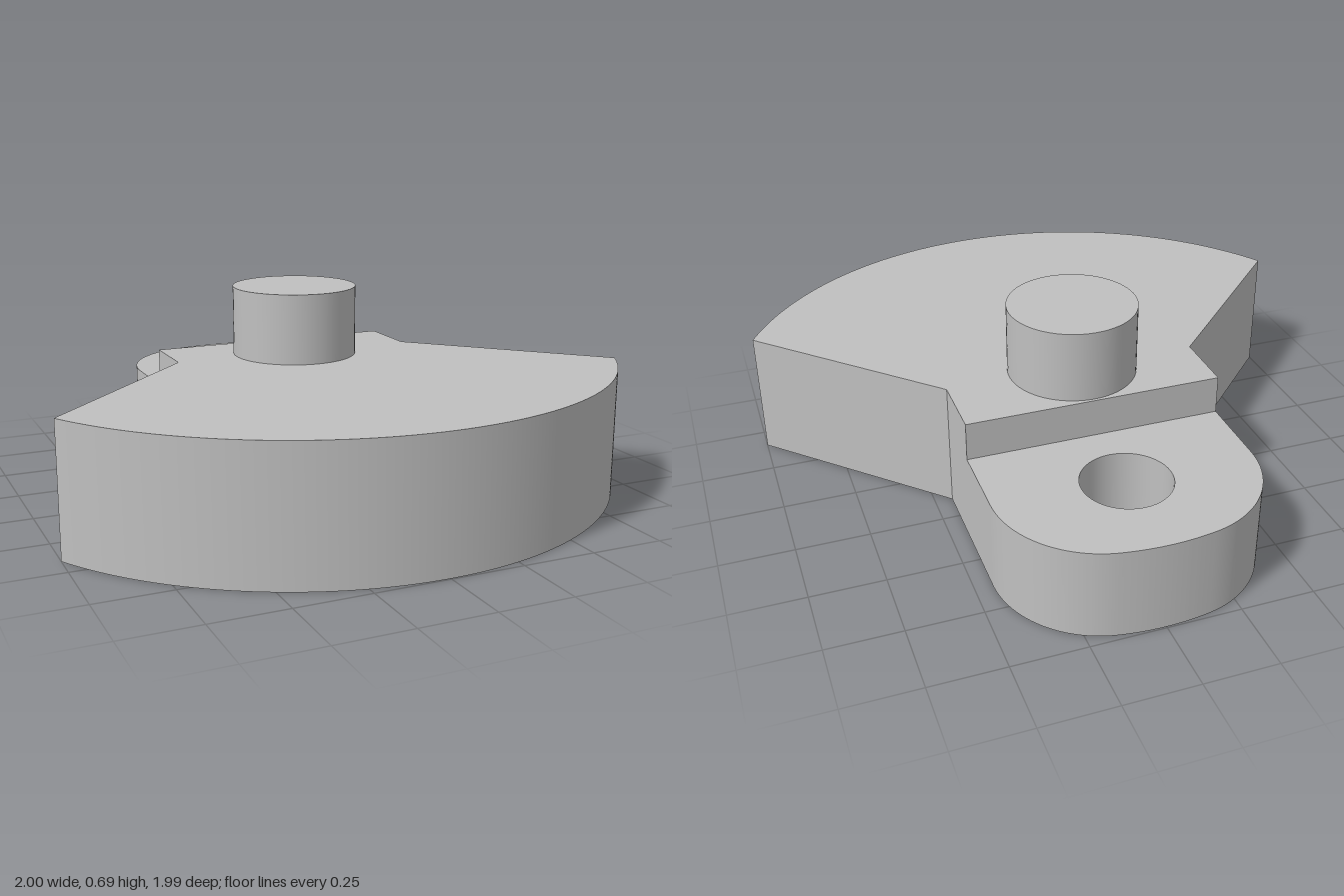
import * as THREE from 'three';
import { toCreasedNormals } from 'three/addons/utils/BufferGeometryUtils.js';

const HALF_WIDTH = 0.44; // half width of the neck and lug
const STEP = 0.378;      // distance of the step behind the centre
const PIN = 0.148;       // distance of the pin axis behind the centre

// Plan shapes use (x, -z); extrusion then runs upward from y = 0.
function plate(name, shape, height, material, curveSegments) {
  const geometry = new THREE.ExtrudeGeometry(shape, { depth: height, bevelEnabled: false, curveSegments });
  geometry.rotateX(-Math.PI / 2);
  const mesh = new THREE.Mesh(toCreasedNormals(geometry, 0.5), material);
  mesh.name = name;
  return mesh;
}

export function createModel() {
  const group = new THREE.Group();
  group.name = 'crankWeb';
  const grey = new THREE.MeshStandardMaterial({ color: 0xc0c0c0 });
  grey.name = 'plain grey';

  // Fan-shaped counterweight, its rim concentric with the pin
  const cornerY = -0.408;
  const rimAngle = Math.atan2(PIN - cornerY, 1);
  const fan = new THREE.Shape();
  fan.moveTo(HALF_WIDTH, STEP);
  fan.lineTo(-HALF_WIDTH, STEP);
  fan.lineTo(-HALF_WIDTH, 0.15);
  fan.lineTo(-1, cornerY);
  fan.absarc(0, PIN, Math.hypot(1, PIN - cornerY), Math.PI + rimAngle, 2 * Math.PI - rimAngle, false);
  fan.lineTo(HALF_WIDTH, 0.15);
  fan.closePath();
  group.add(plate('counterweight', fan, 0.445, grey, 64));

  // Lower lug: rounded corners blending into a shallow end arc, with a through hole
  const r = 0.35, cx = HALF_WIDTH - r, cy = 0.637;
  const blend = Math.atan2(cy - PIN, cx);
  const endRadius = r + Math.hypot(cx, cy - PIN);
  const lug = new THREE.Shape();
  lug.moveTo(-HALF_WIDTH, STEP);
  lug.lineTo(HALF_WIDTH, STEP);
  lug.absarc(cx, cy, r, 0, blend, false);
  lug.absarc(0, PIN, endRadius, blend, Math.PI - blend, false);
  lug.absarc(-cx, cy, r, Math.PI - blend, Math.PI, false);
  lug.closePath();
  const hole = new THREE.Path();
  hole.absarc(0, 0.653, 0.15, 0, Math.PI * 2, true);
  lug.holes.push(hole);
  group.add(plate('lug', lug, 0.312, grey, 24));

  // Upright pin on the counterweight
  const bottom = 0.44, top = 0.69;
  const pin = new THREE.Mesh(new THREE.CylinderGeometry(0.22, 0.22, top - bottom, 64), grey);
  pin.position.set(0, (top + bottom) / 2, -PIN);
  pin.name = 'pin';
  group.add(pin);

  return group;
}
